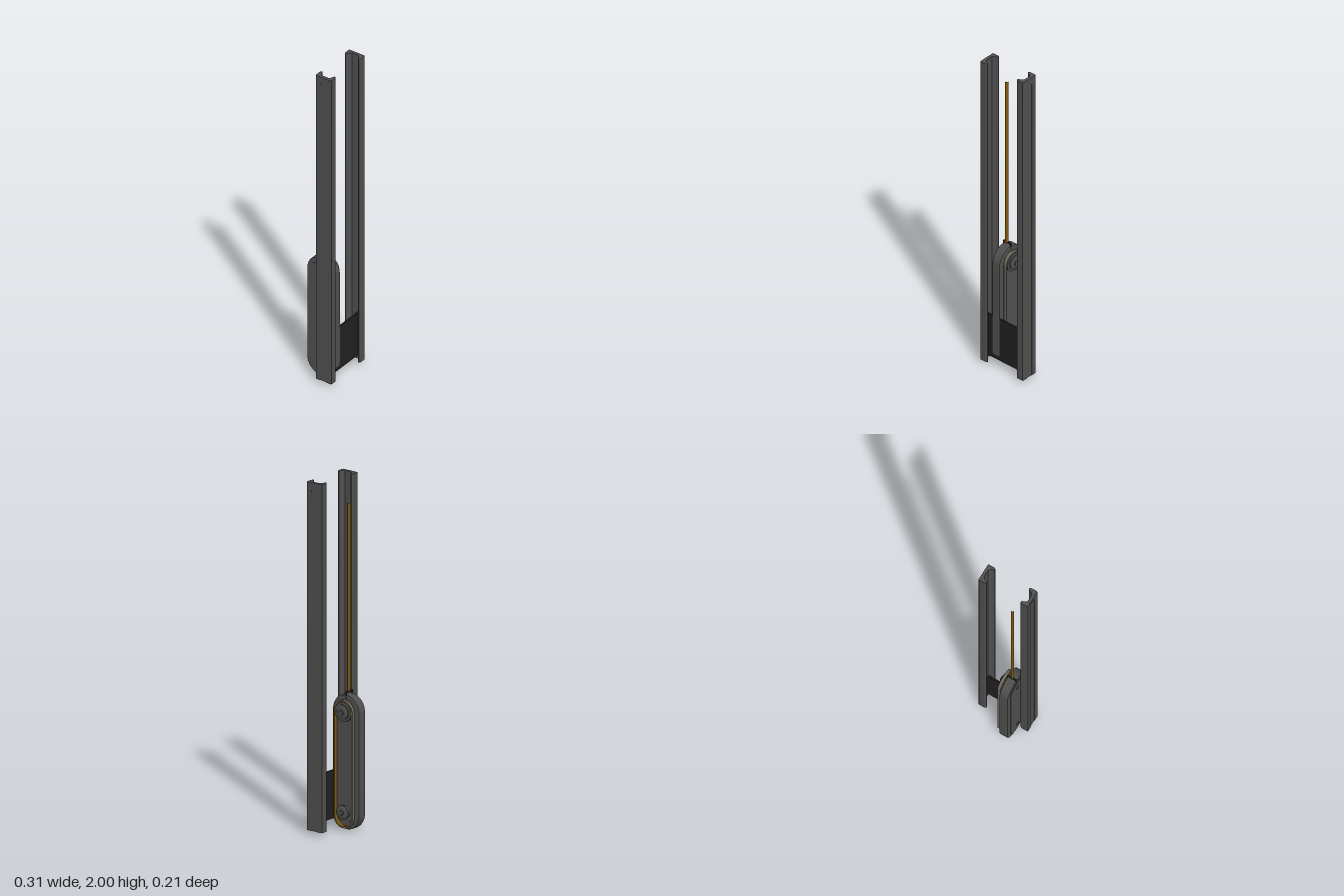
import * as THREE from 'three';

const mat = (name, color, side = THREE.FrontSide) => {
  const m = new THREE.MeshStandardMaterial({ color, side });
  m.name = name;
  return m;
};

export function createModel() {
  const group = new THREE.Group();
  const steel = mat('dark steel', 0x4f4f4f);
  const black = mat('black', 0x202020);
  const gold = mat('gold cord', 0x80580f, THREE.DoubleSide);
  const rope = mat('gold rope', 0x80580f);
  const grey = mat('belt grey', 0x6e6a66);

  const add = (name, geometry, material, x = 0, y = 0, z = 0) => {
    const mesh = new THREE.Mesh(geometry, material);
    mesh.name = name;
    mesh.position.set(x, y, z);
    group.add(mesh);
    return mesh;
  };
  const box = (name, material, x0, x1, y0, y1, z0, z1) =>
    add(name, new THREE.BoxGeometry(x1 - x0, y1 - y0, z1 - z0), material,
      (x0 + x1) / 2, (y0 + y1) / 2, (z0 + z1) / 2);

  // Guide rails: C-channels with a long slot in the outer wall
  const section = [[0.153, 0], [0.116, 0], [0.108, 0.005], [0.108, 0.011], [0.113, 0.015],
    [0.124, 0.018], [0.131, 0.023], [0.138, 0.031], [0.138, 0.074], [0.131, 0.082],
    [0.124, 0.087], [0.113, 0.09], [0.108, 0.094], [0.108, 0.1], [0.116, 0.105], [0.153, 0.105]];
  for (const [side, s] of [['left', 1], ['right', -1]]) {
    const shape = new THREE.Shape(section.map(([x, z]) => new THREE.Vector2(s * x, -z)));
    const channel = new THREE.ExtrudeGeometry(shape, { depth: 1.98, bevelEnabled: false });
    channel.rotateX(-Math.PI / 2);
    add(side + 'Rail', channel, steel, 0, 0.02, 0);

    const face = new THREE.Shape();
    face.moveTo(-0.05, 0.02).lineTo(-0.02, 0.02).lineTo(-0.02, 1.945);
    face.absarc(0, 1.945, 0.02, Math.PI, 0, true);
    face.lineTo(0.02, 0.02).lineTo(0.05, 0.02).lineTo(0.05, 2).lineTo(-0.05, 2);
    const skin = new THREE.ExtrudeGeometry(face, { depth: 0.003, bevelEnabled: false });
    skin.rotateY(s * Math.PI / 2);
    add(side + 'RailSlotFace', skin, steel, s * 0.153, 0, 0.0525);
  }

  // Capsule-shaped plates lying in the y-z plane
  const Z = -0.0125, TOP = 0.6725, LOW = 0.0925;
  const outline = (Kind, r, low = LOW) => {
    const p = new Kind();
    p.absarc(0, TOP, r, 0, Math.PI, false);
    p.absarc(0, low, r, Math.PI, 2 * Math.PI, false);
    p.closePath();
    return p;
  };
  const capsule = (name, material, x0, x1, r, bevel = 0, hole = 0, low = LOW) => {
    const shape = outline(THREE.Shape, r - bevel, low);
    if (hole) shape.holes.push(outline(THREE.Path, hole, low));
    const g = new THREE.ExtrudeGeometry(shape, {
      depth: x1 - x0 - 2 * bevel, curveSegments: 24,
      bevelEnabled: bevel > 0, bevelThickness: bevel, bevelSize: bevel, bevelSegments: 2,
    });
    g.rotateY(Math.PI / 2);
    add(name, g, material, x0 + bevel, 0, Z);
  };
  capsule('housing', steel, -0.092, -0.037, 0.0925, 0.007);
  capsule('outerCover', steel, -0.097, -0.091, 0.065, 0.002);
  capsule('innerCover', steel, -0.038, -0.033, 0.05, 0.001);
  capsule('belt', grey, -0.028, -0.011, 0.067, 0, 0.062, 0.08);
  capsule('beltLining', gold, -0.034, -0.012, 0.062, 0, 0.058, 0.08);

  // Pulleys with stepped hubs, and pivots on the far side
  const pulley = [[0, -0.036], [0.034, -0.036], [0.034, -0.028], [0.056, -0.027], [0.056, -0.011],
    [0.042, -0.01], [0.041, -0.004], [0.027, 0.001], [0.015, 0.002], [0.012, 0.006], [0, 0.007]];
  const hub = [[0.012, -0.036], [0.034, -0.036], [0.034, -0.011], [0.041, -0.01], [0.041, -0.004],
    [0.027, 0.001], [0.015, 0.002], [0.012, 0.006], [0, 0.007]];
  for (const [name, y, profile] of [['upper', TOP, pulley], ['lower', LOW + 0.01, hub]]) {
    const points = profile.map(([r, h]) => new THREE.Vector2(r, h));
    const g = new THREE.LatheGeometry(points, 32).toNonIndexed();
    g.computeVertexNormals();
    g.rotateZ(-Math.PI / 2);
    add(name + 'Pulley', g, steel, 0, y, Z);
    const pivot = new THREE.CylinderGeometry(0.012, 0.009, 0.007, 20);
    pivot.rotateZ(-Math.PI / 2);
    add(name + 'Pivot', pivot, steel, -0.099, y, Z);
  }

  // Shackle on the housing and the open rope above it
  box('shackleBar', black, -0.092, -0.037, 0.778, 0.782, -0.019, -0.009);
  for (const x of [-0.092, -0.04]) box('shackleLeg', black, x, x + 0.003, 0.74, 0.779, -0.019, -0.009);
  add('rope', new THREE.CylinderGeometry(0.009, 0.009, 1.07, 12, 1, true), rope, -0.066, 1.315, -0.01);

  // Cross panel between the rails
  box('crossPanel', black, -0.139, 0.139, 0.05, 0.325, 0.068, 0.078);
  return group;
}
